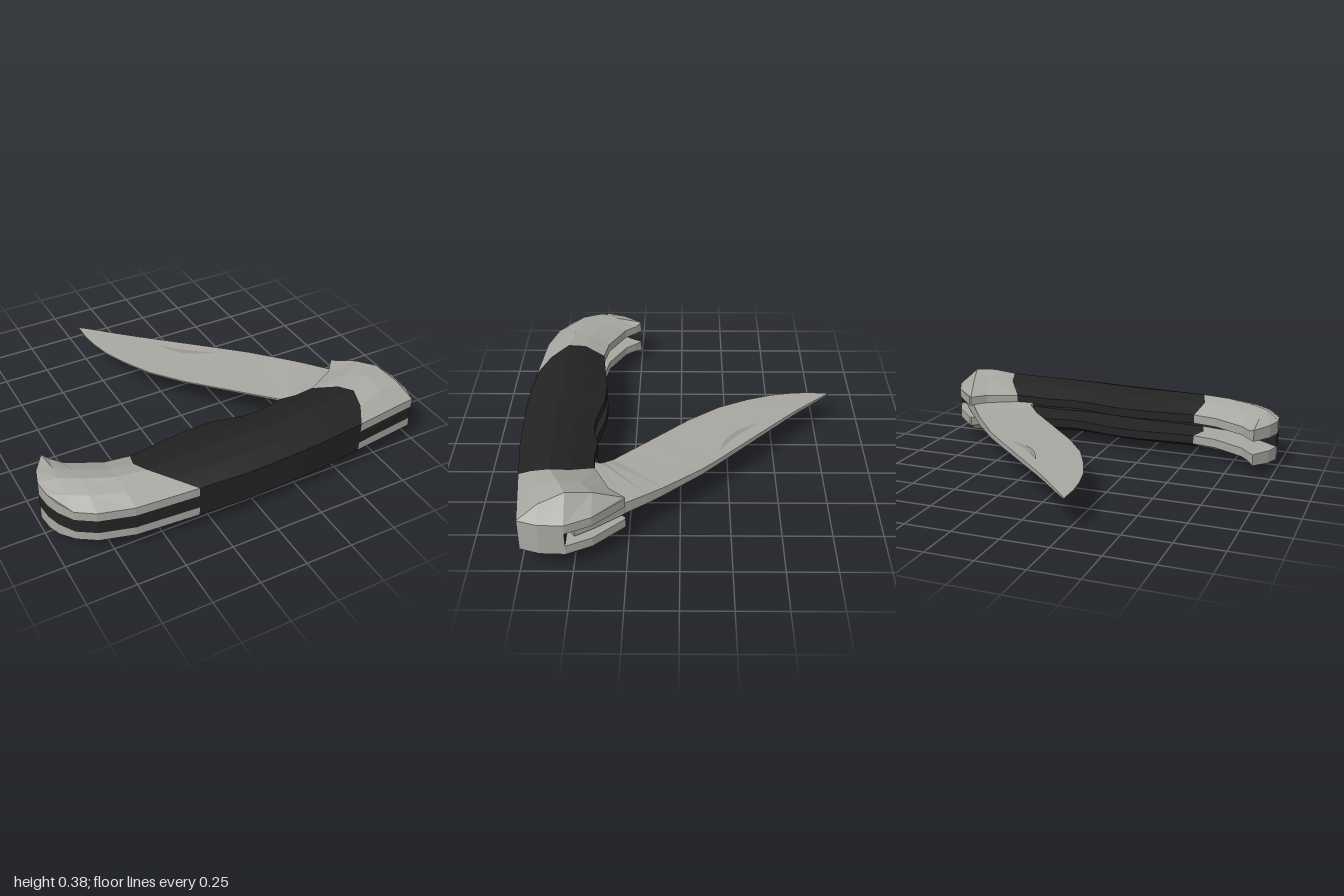
import * as THREE from 'three';

const steel = new THREE.MeshStandardMaterial({ color: 0xa8a7a1, flatShading: true });
steel.name = 'steel';
const black = new THREE.MeshStandardMaterial({ color: 0x232323, flatShading: true });
black.name = 'black grip';
const groove = new THREE.MeshStandardMaterial({ color: 0x989791, flatShading: true });
groove.name = 'groove steel';

// Mesh from a list of four-cornered faces, counter-clockwise from outside
function quadMesh(name, quads, material) {
  const pos = [];
  for (const [a, b, c, d] of quads) pos.push(...a, ...b, ...c, ...a, ...c, ...d);
  const g = new THREE.BufferGeometry();
  g.setAttribute('position', new THREE.Float32BufferAttribute(pos, 3));
  g.computeVertexNormals();
  const m = new THREE.Mesh(g, material);
  m.name = name;
  return m;
}

// Faces joining ring a to ring b
const join = (a, b) => a.map((p, j) => {
  const n = (j + 1) % a.length;
  return [p, a[n], b[n], b[j]];
});

// Handle stations: back x, z, front x, z, half height, edge half height, sideways bulge
const STATIONS = [
  [-0.90, 0.25, -0.96, 0.60, 0.11, 0.10, -0.06],
  [-0.87, 0.28, -0.91, 0.68, 0.15, 0.085, -0.02],
  [-0.82, 0.34, -0.82, 0.74, 0.155, 0.085, 0],
  [-0.65, 0.43, -0.65, 0.79, 0.155, 0.085, -0.02],
  [-0.52, 0.45, -0.33, 0.815, 0.155, 0.085, -0.11], // left bolster edge
  [-0.35, 0.43, -0.22, 0.82, 0.155, 0.085, -0.04],
  [-0.20, 0.41, -0.12, 0.828, 0.155, 0.085, 0],
  [-0.05, 0.41, -0.02, 0.83, 0.155, 0.085, 0],
  [0.12, 0.445, 0.12, 0.826, 0.155, 0.085, 0],
  [0.22, 0.45, 0.24, 0.822, 0.156, 0.085, 0],
  [0.36, 0.42, 0.38, 0.815, 0.161, 0.085, 0],
  [0.45, 0.43, 0.49, 0.802, 0.16, 0.085, 0.03],
  [0.56, 0.42, 0.61, 0.79, 0.163, 0.085, 0.085], // right bolster edge
  [0.72, 0.34, 0.78, 0.77, 0.187, 0.087, 0.03],
  [0.79, 0.26, 0.955, 0.75, 0.19, 0.087, 0],
  [0.80, 0.26, 0.96, 0.75, 0.087, 0.086, 0.11],
];
const T = [0, 0.3, 0.55, 0.8, 1];     // positions from back to front
const SWELL = [0, 0.68, 1, 0.65, 0];  // fullness at those positions
const SLOT = 0.037;                   // half width of the blade slot
const LEFT_EDGE = 4, RIGHT_EDGE = 12, FLOOR = 2;

// Point on a station; side is +1 or -1, slot picks the inner wall
function handlePoint([bx, bz, fx, fz, h, b, bulge], i, side, slot) {
  const t = T[i];
  const x = bx + (fx - bx) * t + bulge * Math.sin(Math.PI * t);
  const y = slot ? SLOT : b + (h - b) * SWELL[i];
  return [x, 0.18 + 0.015 * x + side * y, bz + (fz - bz) * t];
}

function handleRing(s) {
  const up = T.map((_, i) => handlePoint(s, i, 1));
  const down = T.map((_, i) => handlePoint(s, i, -1)).reverse();
  const inner = (i, side) => handlePoint(s, i, side, true);
  return [...up, inner(4, 1), inner(4, -1), ...down,
    inner(0, -1), inner(1, -1), inner(2, -1), inner(2, 1), inner(1, 1), inner(0, 1)];
}

// End of the handle, leaving the slot open; returns cheeks and slot filler
function handleCap(s, flip) {
  const cheeks = [], filler = [];
  const add = (list, i, low, high) => {
    const q = [low(i), high(i), high(i + 1), low(i + 1)];
    list.push(flip ? q.reverse() : q);
  };
  const at = (side, slot) => i => handlePoint(s, i, side, slot);
  for (let i = 0; i < 4; i++) {
    add(cheeks, i, at(1, true), at(1));
    add(cheeks, i, at(-1), at(-1, true));
    if (i >= FLOOR) add(filler, i, at(-1, true), at(1, true));
  }
  return { cheeks, filler };
}

function makeHandle() {
  const handle = new THREE.Group();
  handle.name = 'handle';
  const rings = STATIONS.map(handleRing);
  const left = [], right = [], grip = [], spacer = [];
  for (let k = 0; k < rings.length - 1; k++) {
    const shell = k < LEFT_EDGE ? left : k < RIGHT_EDGE ? grip : right;
    join(rings[k], rings[k + 1]).forEach((q, j) => {
      const isSpacer = j === 5 || j === 14; // front strip and slot floor
      (isSpacer ? spacer : shell).push(q);
    });
  }
  const capL = handleCap(STATIONS[0], true);
  const capR = handleCap(STATIONS[STATIONS.length - 1], false);
  left.push(...capL.cheeks);
  spacer.push(...capL.filler);
  right.push(...capR.cheeks, ...capR.filler);
  handle.add(
    quadMesh('leftEndBolster', left, steel),
    quadMesh('pivotBolster', right, steel),
    quadMesh('grip', grip, black),
    quadMesh('spacer', spacer, black),
  );
  return handle;
}

// Blade stations: spine x, z, edge x, z, half thickness at spine and at edge
const BLADE = [
  [0.94, 0.49, 0.80, 0.59, 0.034, 0.034],
  [0.88, 0.40, 0.64, 0.57, 0.034, 0.034],
  [0.78, 0.27, 0.46, 0.43, 0.033, 0.033],
  [0.77, 0.26, 0.465, 0.40, 0.032, 0.03],
  [0.70, 0.16, 0.44, 0.38, 0.028, 0.018],
  [0.64, 0.08, 0.40, 0.34, 0.024, 0.005],
  [0.48, -0.11, 0.22, 0.15, 0.017, 0.004],
  [0.40, -0.19, 0.04, -0.04, 0.015, 0.004],
  [0.20, -0.38, -0.09, -0.21, 0.013, 0.004],
  [0.00, -0.57, -0.17, -0.37, 0.011, 0.004],
  [-0.08, -0.65, -0.22, -0.50, 0.01, 0.003],
  [-0.16, -0.735, -0.245, -0.62, 0.008, 0.003],
  [-0.22, -0.798, -0.255, -0.72, 0.006, 0.003],
  [-0.249, -0.83, -0.251, -0.828, 0.003, 0.002],
];
const bladeY = z => 0.193 + 0.02 * z;

function makeBlade() {
  const blade = new THREE.Group();
  blade.name = 'blade';
  const rings = BLADE.map(([sx, sz, ex, ez, hs, he]) => [
    [ex, bladeY(ez) + he, ez], [sx, bladeY(sz) + hs, sz],
    [sx, bladeY(sz) - hs, sz], [ex, bladeY(ez) - he, ez],
  ]);
  const quads = [[...rings[0]].reverse(), rings[rings.length - 1]];
  for (let k = 0; k < rings.length - 1; k++) quads.push(...join(rings[k], rings[k + 1]));
  blade.add(quadMesh('bladeBody', quads, steel));

  // Crescent nail nick on both faces
  for (const side of [1, -1]) {
    const nick = [];
    const point = (t, bow) => {
      const b = bow * Math.sin(Math.PI * t);
      const x = 0.07 + 0.25 * t - 0.66 * b, z = -0.42 + 0.22 * t + 0.75 * b;
      return [x, bladeY(z) + side * 0.0135, z];
    };
    for (let k = 0; k < 10; k++) {
      const a = k / 10, c = (k + 1) / 10;
      const q = [point(a, 0.015), point(a, 0.048), point(c, 0.048), point(c, 0.015)];
      nick.push(side > 0 ? q : q.reverse());
    }
    blade.add(quadMesh(side > 0 ? 'nailNickTop' : 'nailNickBottom', nick, groove));
  }
  return blade;
}

export function createModel() {
  const model = new THREE.Group();
  model.name = 'foldingKnife';
  model.add(makeHandle(), makeBlade());
  return model;
}
